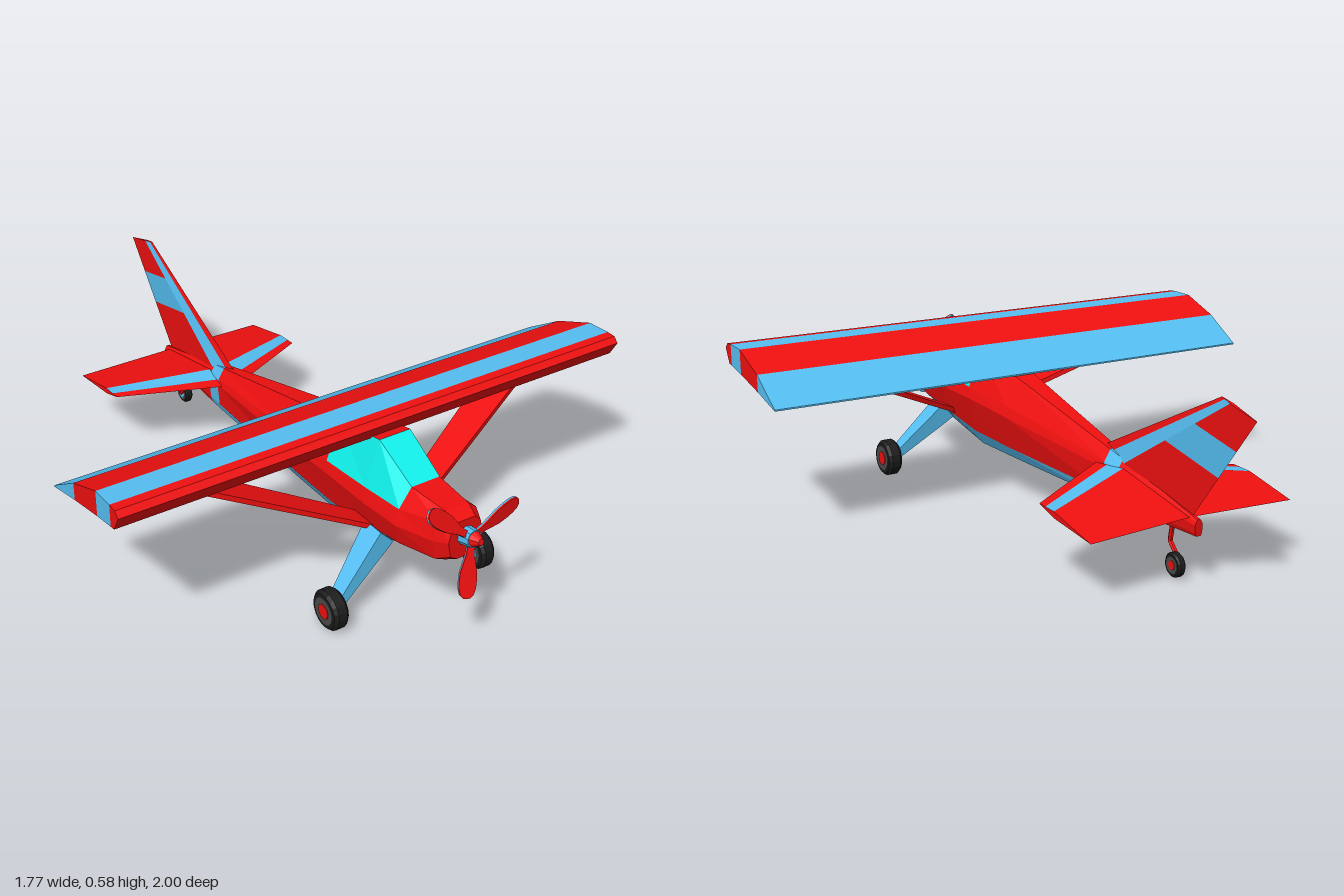
import * as THREE from 'three';

const RED = 0xf01010, BLUE = 0x55bff2, CYAN = 0x10f0ea, BLACK = 0x1c1c1c, GREY = 0x4a4a4a;
const mats = {};
const mat = (c) => (mats[c] ??= new THREE.MeshStandardMaterial({ color: c, flatShading: true, side: THREE.DoubleSide }));

// Skin closed rings of points into a capped solid; color(i, j) picks a colour per cell (i = -1 for caps)
function loft(name, rings, color) {
  const group = new THREE.Group();
  group.name = name;
  const tris = [];
  const n = rings[0].length, last = rings.length - 1;
  for (let i = 0; i < last; i++) for (let j = 0; j < n; j++) {
    const k = (j + 1) % n, c = color(i, j);
    const a = rings[i][j], b = rings[i][k], d = rings[i + 1][j], e = rings[i + 1][k];
    tris.push([c, a, b, e], [c, a, e, d]);
  }
  for (let j = 1; j < n - 1; j++) {
    const c = color(-1, j), s = rings[0], t = rings[last];
    tris.push([c, s[0], s[j + 1], s[j]], [c, t[0], t[j], t[j + 1]]);
  }
  // Turn the faces outward whichever way the rings run
  const v = (p) => new THREE.Vector3(...p);
  let volume = 0;
  for (const [, a, b, c] of tris) volume += v(a).dot(v(b).cross(v(c)));
  const buckets = new Map();
  for (const [c, p, q, r] of tris) {
    if (!buckets.has(c)) buckets.set(c, []);
    buckets.get(c).push(...p, ...(volume < 0 ? [...r, ...q] : [...q, ...r]));
  }
  for (const [c, pos] of buckets) {
    const geo = new THREE.BufferGeometry();
    geo.setAttribute('position', new THREE.Float32BufferAttribute(pos, 3));
    geo.computeVertexNormals();
    const mesh = new THREE.Mesh(geo, mat(c));
    mesh.name = name + 'Skin';
    group.add(mesh);
  }
  return group;
}

// Tapered lens-shaped surface: corner points, thickness axis, chord and span divisions
function panel(name, rootLE, rootTE, tipLE, tipTE, axis, thick, chord, span, color) {
  const rings = span.map((v) => {
    const point = (u, side) => {
      const t = side * THREE.MathUtils.lerp(thick[0], thick[1], v) * Math.min(1, u / 0.28, (1 - u) / 0.7);
      return [0, 1, 2].map((k) => THREE.MathUtils.lerp(
        THREE.MathUtils.lerp(rootLE[k], rootTE[k], u),
        THREE.MathUtils.lerp(tipLE[k], tipTE[k], u), v) + (k === axis ? t : 0));
    };
    return [...chord.map((u) => point(u, 1)), ...chord.slice(1, -1).reverse().map((u) => point(u, -1))];
  });
  const m = chord.length - 1;
  return loft(name, rings, (i, j) => color(i, j < m ? j : 2 * m - 1 - j));
}

const cylinder = (name, r1, r2, len, c, x, y, z, sides = 16) => {
  const m = new THREE.Mesh(new THREE.CylinderGeometry(r1, r2, len, sides), mat(c));
  m.name = name;
  m.position.set(x, y, z);
  return m;
};

// Wheel with its axle along x; out is the side of the hub cap
function wheel(name, r, w, out) {
  const g = new THREE.Group();
  g.name = name;
  const profile = [[0, -w / 2], [r * 0.85, -w / 2], [r, -w * 0.3], [r, w * 0.3], [r * 0.85, w / 2], [0, w / 2]];
  const tyre = new THREE.Mesh(new THREE.LatheGeometry(profile.map((p) => new THREE.Vector2(...p)), 18), mat(BLACK));
  tyre.name = 'tyre';
  g.add(tyre,
    cylinder('rim', r * 0.68, r * 0.68, w * 1.06, GREY, 0, 0, 0),
    cylinder('hubCap', r * 0.38, r * 0.38, w * 0.3, RED, 0, -out * w * 0.43, 0, 10),
    cylinder('innerHub', r * 0.5, r * 0.5, w * 0.3, BLUE, 0, out * w * 0.42, 0, 10));
  g.rotation.z = Math.PI / 2;
  return g;
}

function fuselage() {
  // z, then half-width and height of: roof edge, shoulder, widest line, chine, keel edge
  const sections = [
    [0.935, 0.03, 0.425, 0.05, 0.405, 0.06, 0.365, 0.05, 0.315, 0.025, 0.3],
    [0.89, 0.04, 0.44, 0.07, 0.415, 0.08, 0.355, 0.068, 0.29, 0.03, 0.272],
    [0.75, 0.05, 0.445, 0.092, 0.385, 0.105, 0.335, 0.085, 0.265, 0.04, 0.23],
    [0.6, 0.055, 0.525, 0.1, 0.378, 0.11, 0.33, 0.082, 0.238, 0.045, 0.192],
    [0.4, 0.05, 0.485, 0.098, 0.362, 0.106, 0.325, 0.072, 0.2, 0.045, 0.153],
    [0.18, 0.035, 0.43, 0.08, 0.34, 0.09, 0.305, 0.062, 0.19, 0.04, 0.151],
    [-0.335, 0.015, 0.31, 0.036, 0.275, 0.042, 0.255, 0.035, 0.175, 0.025, 0.148],
    [-0.4, 0.012, 0.295, 0.031, 0.264, 0.037, 0.245, 0.031, 0.173, 0.022, 0.148],
    [-0.76, 0.005, 0.205, 0.01, 0.198, 0.014, 0.188, 0.012, 0.165, 0.008, 0.155],
  ];
  const rings = sections.map(([z, ...p]) => {
    const half = [0, 2, 4, 6, 8].map((k) => [p[k], p[k + 1], z]);
    return [...half, ...half.map(([x, y]) => [-x, y, z]).reverse()];
  });
  return loft('fuselage', rings, (i, j) => {
    const strip = j === 9 ? -1 : Math.min(j, 8 - j);
    if (i === 6) return BLUE;                                   // tail band
    if ((i === 2 || i === 3) && strip === 0) return CYAN;       // side windows
    if (i === 2 && strip === -1) return CYAN;                   // windscreen
    return strip === 3 && i >= 2 && i < 6 ? BLUE : RED;         // chine stripe
  });
}

// Straight wing made of coloured spanwise strips
function wing() {
  const g = new THREE.Group();
  g.name = 'wing';
  const cuts = [ // z, upper y, lower y
    [0.54, 0.577, 0.507], [0.46, 0.575, 0.494], [0.32, 0.522, 0.466], [0.186, 0.44, 0.435]];
  const strip = (pts, c) => g.add(loft('wingStrip',
    [-0.885, 0.885].map((x) => pts.map(([z, y]) => [x, y, z])), () => c));
  strip([[0.54, 0.577], [0.57, 0.575], [0.587, 0.558], [0.56, 0.51], [0.54, 0.507]], RED);
  [BLUE, RED, BLUE].forEach((c, i) => {
    const [a, b] = [cuts[i], cuts[i + 1]];
    strip([[a[0], a[1]], [b[0], b[1]], [b[0], b[2]], [a[0], a[2]]], c);
  });
  return g;
}

function propeller() {
  const g = new THREE.Group();
  g.name = 'propeller';
  const shape = new THREE.Shape();
  shape.moveTo(0, -0.008);
  shape.lineTo(0.05, -0.012);
  shape.lineTo(0.1, -0.026);
  shape.quadraticCurveTo(0.185, -0.034, 0.182, 0);
  shape.quadraticCurveTo(0.185, 0.034, 0.1, 0.024);
  shape.lineTo(0.05, 0.012);
  shape.lineTo(0, 0.008);
  const layer = new THREE.ExtrudeGeometry(shape, { depth: 0.005, bevelEnabled: false, curveSegments: 5 });
  for (const deg of [18, 139, 260]) {
    const blade = new THREE.Group();
    blade.name = 'blade';
    [[BLUE, -0.005], [RED, 0]].forEach(([c, z]) => {
      const m = new THREE.Mesh(layer, mat(c));
      m.name = 'bladeFace';
      m.position.z = z;
      blade.add(m);
    });
    blade.rotation.set(0.25, 0, THREE.MathUtils.degToRad(deg), 'ZXY');
    const arm = new THREE.Group();
    arm.name = 'bladeArm';
    arm.rotation.z = blade.rotation.z;
    blade.rotation.set(0.25, 0, 0);
    arm.add(blade);
    g.add(arm);
  }
  const hub = cylinder('hub', 0.026, 0.03, 0.045, BLUE, 0, 0, -0.005, 10);
  const spinner = cylinder('spinner', 0.01, 0.024, 0.027, RED, 0, 0, 0.03, 10);
  hub.rotation.x = spinner.rotation.x = Math.PI / 2;
  g.add(hub, spinner);
  g.position.set(0, 0.377, 0.957);
  g.rotation.x = -0.2;
  return g;
}

export function createModel() {
  const model = new THREE.Group();
  model.name = 'airplane';
  model.add(fuselage(), wing(), propeller());

  // Fin with a swept stripe and a crossing band
  model.add(panel('fin', [0, 0.305, -0.27], [0, 0.2, -0.725], [0, 0.585, -0.845], [0, 0.548, -0.995], 0,
    [0.018, 0.006], [0, 0.1, 0.28, 1], [0, 0.43, 0.7, 1],
    (i, j) => (i >= 0 && (j === 1 || (i === 1 && j === 2)) ? BLUE : RED)));

  for (const s of [1, -1]) {
    const side = s > 0 ? 'left' : 'right';
    model.add(panel(side + 'Stabilizer', [0, 0.268, -0.275], [0, 0.205, -0.73],
      [s * 0.357, 0.237, -0.475], [s * 0.357, 0.195, -0.742], 1,
      [0.024, 0.01], [0, 0.12, 0.29, 1], [0, 1], (i, j) => (i >= 0 && j === 1 ? BLUE : RED)));

    // Wing strut
    const bar = (x, y, z0, z1, h) => [[x, y + h, z0], [x, y + h, z1], [x, y - h, z1], [x, y - h, z0]];
    model.add(loft(side + 'Strut',
      [bar(s * 0.07, 0.24, 0.54, 0.63, 0.009), bar(s * 0.63, 0.492, 0.33, 0.465, 0.009)], () => RED));

    // Landing leg, tapering to the axle
    const leg = (x, y, z0, z1, h) => [
      [s * (x + h), y + h, z0], [s * (x + h), y + h, z1], [s * (x - h), y - h, z1], [s * (x - h), y - h, z0]];
    model.add(loft(side + 'LandingLeg',
      [leg(0.07, 0.235, 0.595, 0.675, 0.024), leg(0.25, 0.078, 0.655, 0.7, 0.01)], () => BLUE));

    const w = wheel(side + 'Wheel', 0.064, 0.05, s);
    w.position.set(s * 0.273, 0.066, 0.685);
    model.add(w);
  }

  // Tail wheel on its bent leg
  const path = new THREE.CatmullRomCurve3([[0, 0.17, -0.64], [-0.004, 0.1, -0.622], [-0.004, 0.085, -0.635], [-0.002, 0.045, -0.675]]
    .map((p) => new THREE.Vector3(...p)), false, 'catmullrom', 0.2);
  const tailLeg = new THREE.Mesh(new THREE.TubeGeometry(path, 12, 0.008, 6), mat(RED));
  tailLeg.name = 'tailLeg';
  const tailWheel = wheel('tailWheel', 0.038, 0.026, 1);
  tailWheel.position.set(0.016, 0.045, -0.675);
  model.add(tailLeg, tailWheel);
  return model;
}
